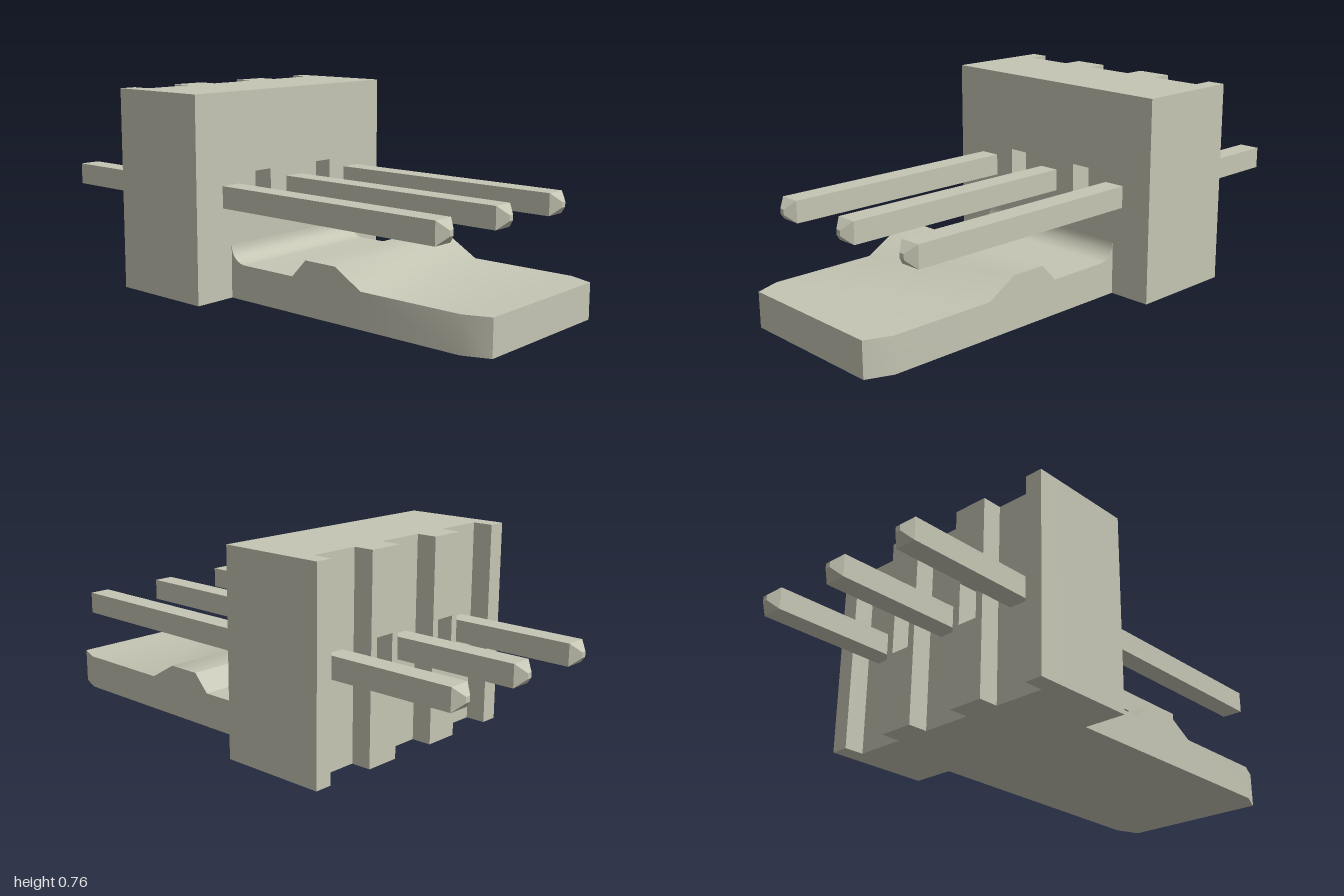
import * as THREE from 'three';
import { toCreasedNormals } from 'three/addons/utils/BufferGeometryUtils.js';

// Closed solid through rectangular sections [z, bottom, top, halfWidth], back to front
function loft(sections, crease) {
  const pos = [];
  const loops = sections.map(([z, lo, hi, w]) => [[w, lo, z], [w, hi, z], [-w, hi, z], [-w, lo, z]]);
  const quad = (a, b, c, d) => pos.push(...a, ...b, ...c, ...a, ...c, ...d);
  for (let s = 0; s < loops.length - 1; s++) {
    const back = loops[s], front = loops[s + 1];
    for (let i = 0; i < 4; i++) {
      const j = (i + 1) % 4;
      quad(back[i], back[j], front[j], front[i]);
    }
  }
  quad(...loops[loops.length - 1]);
  quad(...[...loops[0]].reverse());
  const geo = new THREE.BufferGeometry();
  geo.setAttribute('position', new THREE.Float32BufferAttribute(pos, 3));
  return toCreasedNormals(geo, crease);
}

function rect(PathType, x0, x1, y0, y1) {
  return new PathType([[x0, y0], [x1, y0], [x1, y1], [x0, y1]].map(p => new THREE.Vector2(...p)));
}

export function createModel() {
  const model = new THREE.Group();
  const plastic = new THREE.MeshStandardMaterial({ color: 0xc5c5b4 });
  plastic.name = 'warm grey';

  const add = (name, geo) => {
    const mesh = new THREE.Mesh(geo, plastic);
    mesh.name = name;
    model.add(mesh);
    return mesh;
  };

  // Upright plate between two depths, pierced by windows centred on the given x
  const plate = (name, x0, x1, z0, z1, windows) => {
    const shape = rect(THREE.Shape, x0, x1, 0, 0.762);
    for (const x of windows) shape.holes.push(rect(THREE.Path, x - 0.04, x + 0.04, 0.302, 0.461));
    const geo = new THREE.ExtrudeGeometry(shape, { depth: z1 - z0, bevelEnabled: false });
    add(name, geo.translate(0, 0, z0));
  };

  // Housing wall with ribs on its back
  const back = -0.535, groove = -0.457, face = -0.12, win = 0.167;
  plate('housingWall', -0.5, 0.5, groove, face, [-win, win]);
  for (const s of [-1, 1]) {
    plate('outerRib', s > 0 ? 0.432 : -0.5, s > 0 ? 0.5 : -0.432, back, groove, []);
    plate('innerRib', s * win - 0.069, s * win + 0.069, back, groove, [s * win]);
  }

  // Locking tongue: fillet at the wall, raised catch, tapered nose
  const w = 0.333, h = 0.132, r = 0.067;
  const sections = [];
  for (let i = 0; i <= 8; i++) {
    const a = (i / 8) * Math.PI / 2;
    sections.push([face + r * (1 - Math.cos(a)), 0, h + r * (1 - Math.sin(a)), w]);
  }
  sections.push(
    [0.187, 0, h, w], [0.25, 0, 0.199, w],
    [0.385, 0, 0.199, w], [0.5, 0, h, w],
    [0.905, 0, h, w], [1, 0, h, 0.295]
  );
  add('lockingTongue', loft(sections, 0.65));

  // Square pins with bevelled tips
  const py = 0.382, half = 0.041, tip = 0.01;
  const pin = loft([[-1, tip], [-0.967, half], [0.832, half], [0.865, tip]]
    .map(([z, k]) => [z, py - k, py + k, k]), 0.3);
  for (const x of [-0.333, 0, 0.333]) add('pin', pin).position.x = x;

  return model;
}
